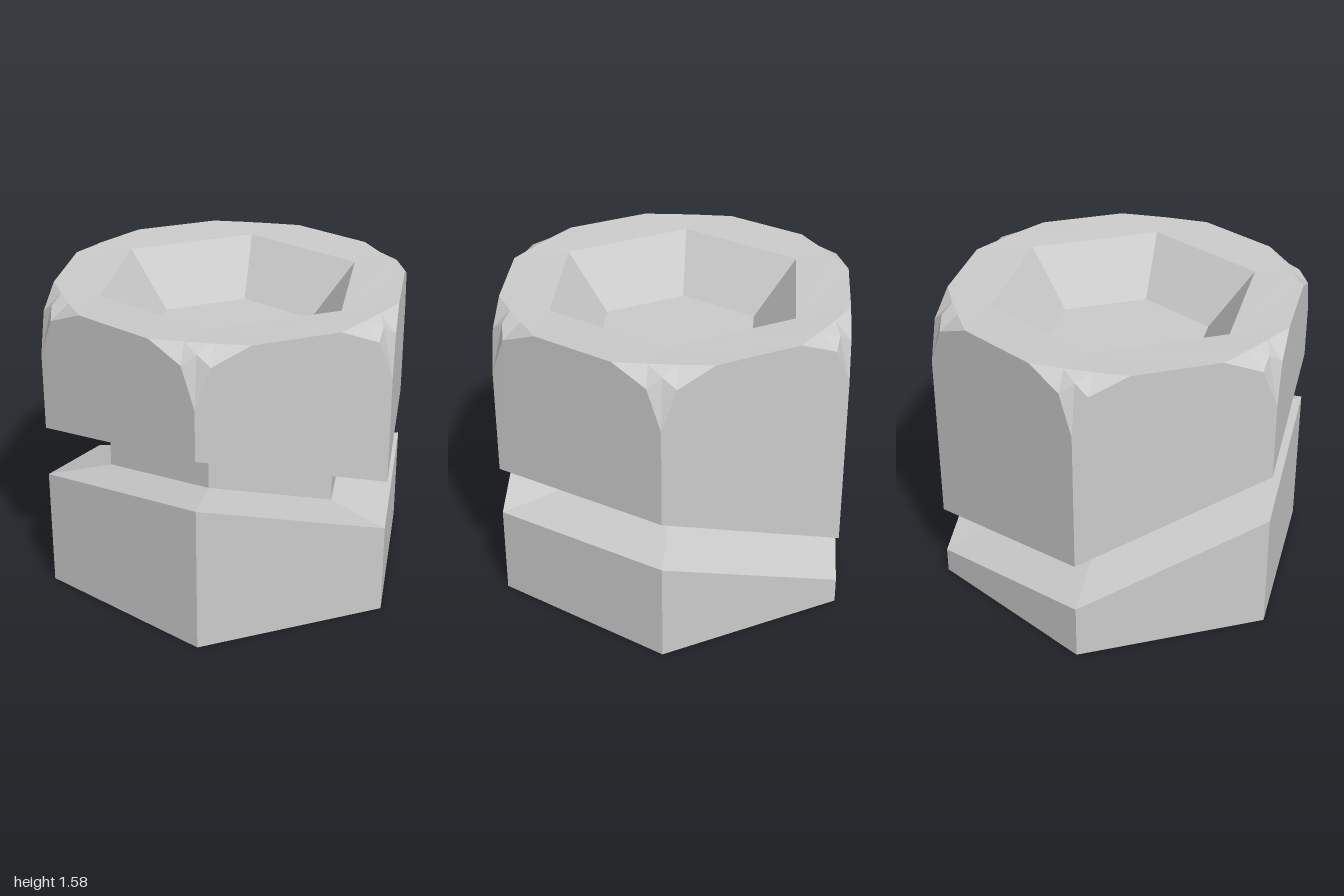
import * as THREE from 'three';

const SIDES = 6;
const TOP = 1.58;
// Groove lower-edge height at each corner, counter-clockwise from the front corner
const GROOVE = [0.475, 0.52, 0.135, 0.29, 0.63, 0.77];

// Point near corner k: radial distance r, sideways offset t, height y
function pt(k, r, y, t = 0) {
  const a = (k * Math.PI * 2) / SIDES, s = Math.sin(a), c = Math.cos(a);
  return [r * s + t * c, y, r * c - t * s];
}

// Flat-shaded mesh from convex polygons, each fanned into triangles
function polyMesh(name, polys) {
  const pos = [];
  for (const p of polys) {
    for (let i = 1; i < p.length - 1; i++) pos.push(...p[0], ...p[i], ...p[i + 1]);
  }
  const geo = new THREE.BufferGeometry();
  geo.setAttribute('position', new THREE.Float32BufferAttribute(pos, 3));
  geo.computeVertexNormals();
  const mesh = new THREE.Mesh(geo, new THREE.MeshStandardMaterial({ color: 0xcccccc, flatShading: true }));
  mesh.name = name;
  return mesh;
}

// All named points belonging to corner k
function corner(k) {
  const low = GROOVE[k], inner = low * 2 / 3 + 0.205;
  return {
    foot: pt(k, 1, 0),
    low: pt(k, 1, low),
    coreLow: pt(k, 2 / 3, inner),
    coreUp: pt(k, 2 / 3, inner + 0.173),
    up: pt(k, 1, low + 0.266),
    tip: pt(k, 1, 1.3),
    sideR: pt(k, 0.96, 1.5, 0.07),
    sideL: pt(k, 0.96, 1.5, -0.07),
    peak: pt(k, 0.935, 1.55),
    edgeR: pt(k, 0.861, TOP, 0.24),
    edgeL: pt(k, 0.861, TOP, -0.24),
    shoulderR: pt(k, 0.867, TOP, 0.07),
    shoulderL: pt(k, 0.867, TOP, -0.07),
    rim: pt(k, 0.69, 1.57),
    floor: pt(k, 0.447, 1.285),
  };
}

export function createModel() {
  const group = new THREE.Group();
  group.name = 'groovedHexBlock';
  const corners = GROOVE.map((_, k) => corner(k));
  const base = [], core = [], head = [], chamfers = [], recess = [];

  corners.forEach((a, k) => {
    const b = corners[(k + 1) % SIDES];
    // Base wall and sloping lower lip of the groove
    base.push([a.foot, b.foot, b.low, a.low], [a.low, b.low, b.coreLow, a.coreLow]);
    // Neck between the two halves
    core.push([a.coreLow, b.coreLow, b.coreUp, a.coreUp]);
    // Upper lip, head wall and top ring
    head.push(
      [a.coreUp, b.coreUp, b.up, a.up],
      [a.up, b.up, b.tip, b.sideL, b.edgeL, a.edgeR, a.sideR, a.tip],
      [a.rim, a.shoulderR, a.edgeR, b.edgeL, b.shoulderL, b.rim],
      [a.shoulderL, a.shoulderR, a.rim],
    );
    // Cut corner facets
    chamfers.push(
      [a.tip, a.sideR, a.peak, a.sideL],
      [a.sideR, a.edgeR, a.shoulderR, a.peak],
      [a.sideL, a.peak, a.shoulderL, a.edgeL],
      [a.peak, a.shoulderR, a.shoulderL],
    );
    // Sloping recess wall
    recess.push([a.rim, b.rim, b.floor, a.floor]);
  });
  base.push(corners.map((c) => c.foot).reverse());
  recess.push(corners.map((c) => c.floor));

  group.add(
    polyMesh('base', base),
    polyMesh('neck', core),
    polyMesh('head', head),
    polyMesh('cornerChamfers', chamfers),
    polyMesh('topRecess', recess),
  );
  return group;
}
